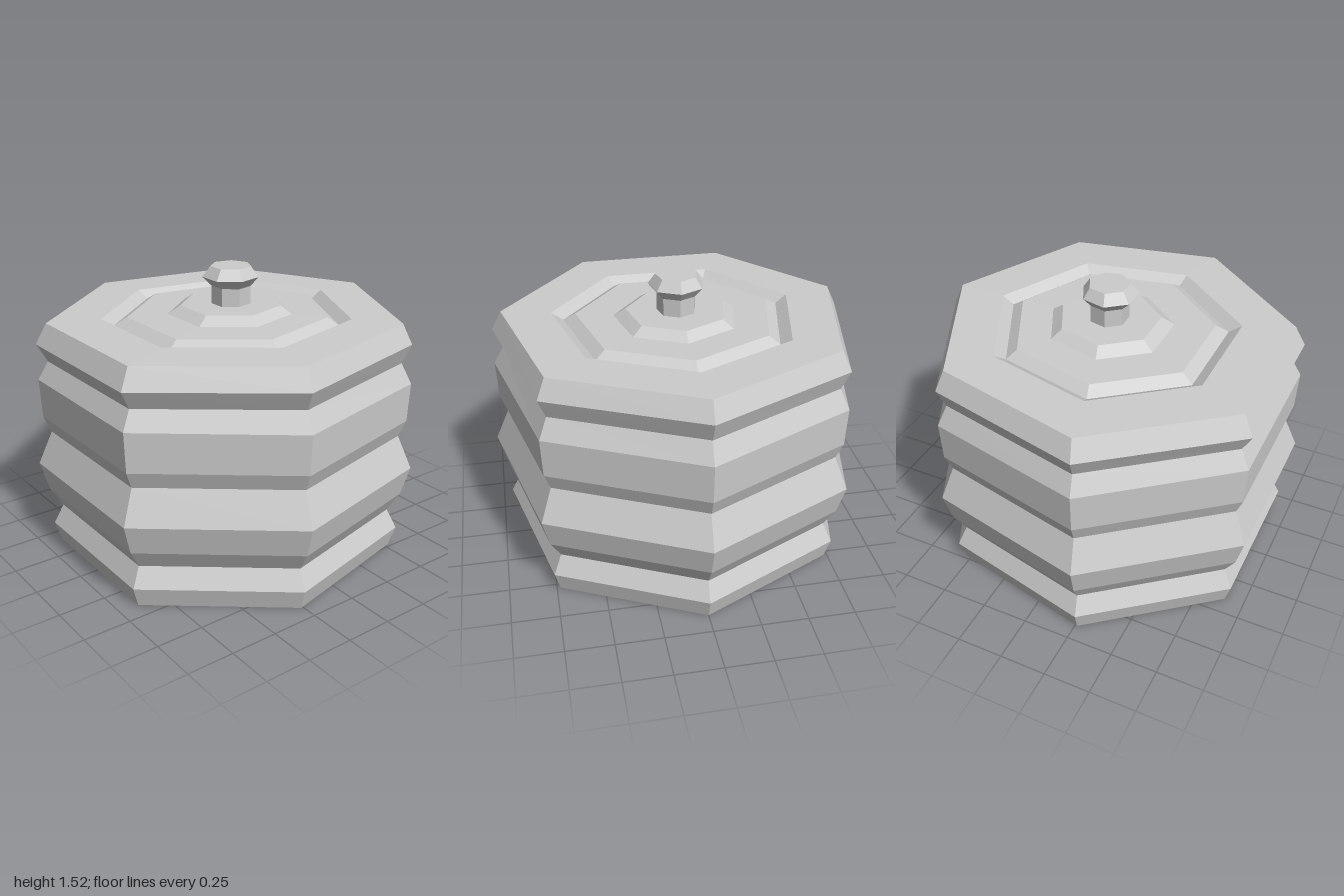
import * as THREE from 'three';

const SIDES = 7;

// Lofts seven-sided rings, listed from bottom to top.
// Each ring is [height, radius, centre x, tilt (rise per unit of x)].
function loft(name, rings, material) {
  const corner = ([y, r, cx, tilt = 0], k) => {
    const a = ((k % SIDES) / SIDES) * Math.PI * 2;
    const x = cx + r * Math.cos(a);
    return [x, y + tilt * x, r * Math.sin(a)];
  };
  const positions = [];
  for (let i = 0; i < rings.length - 1; i++) {
    const low = rings[i], high = rings[i + 1];
    for (let k = 0; k < SIDES; k++) {
      const a = corner(low, k), b = corner(high, k);
      const c = corner(high, k + 1), d = corner(low, k + 1);
      if (high[1] > 0) positions.push(...a, ...b, ...c);
      if (low[1] > 0) positions.push(...a, ...c, ...d);
    }
  }
  const geometry = new THREE.BufferGeometry();
  geometry.setAttribute('position', new THREE.Float32BufferAttribute(positions, 3));
  geometry.computeVertexNormals();
  const mesh = new THREE.Mesh(geometry, material);
  mesh.name = name;
  return mesh;
}

export function createModel() {
  const model = new THREE.Group();
  model.name = 'lidded jar';
  const clay = new THREE.MeshStandardMaterial({ color: 0xcccccc, flatShading: true });
  clay.name = 'light grey';

  // Ribbed body with a closed base; its top ring meets the lid
  const bx = -0.053;
  model.add(loft('body', [
    [0, 0, bx], [0, 0.935, bx], [0.11, 0.97, bx], [0.215, 0.915, bx],
    [0.32, 0.98, bx], [0.48, 1.026, bx], [0.66, 0.948, bx],
    [0.75, 0.986, bx], [0.96, 0.996, bx], [1.065, 0.94, bx, 0.007],
  ], clay));

  // Slightly tilted lid: bevelled rim, V-shaped groove, raised centre
  model.add(loft('lid', [
    [1.065, 0.94, bx, 0.007], [1.167, 0.99, -0.058, 0.012], [1.275, 0.935, -0.054, 0.011],
    [1.277, 0.665, -0.043, 0.011], [1.238, 0.6, -0.04, 0.011], [1.277, 0.535, -0.036, 0.011],
    [1.278, 0.334, -0.02, 0.011], [1.32, 0.27, -0.016, 0.009], [1.32, 0, -0.016, 0.009],
  ], clay));

  // Knob with a short stem
  model.add(loft('knob', [
    [1.318, 0.105, -0.013], [1.415, 0.105, -0.013], [1.465, 0.15, -0.018],
    [1.52, 0.11, -0.015], [1.52, 0, -0.015],
  ], clay));

  return model;
}
